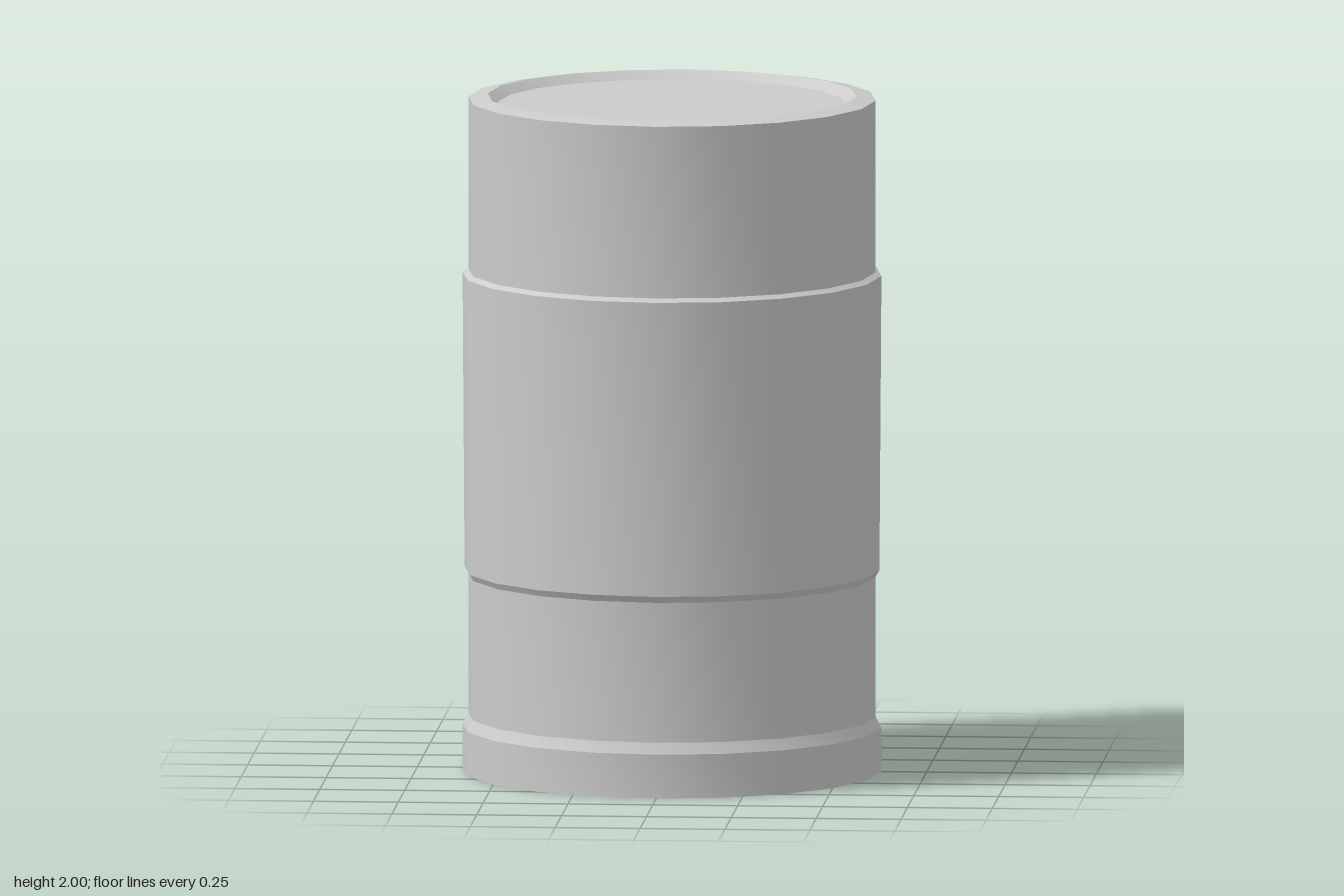
import * as THREE from 'three';
import { toCreasedNormals } from 'three/addons/utils/BufferGeometryUtils.js';

const SIDES = 20;
const material = new THREE.MeshStandardMaterial({ color: 0xcccccc });

// Turn a profile of [radius, height] pairs, smooth around and sharp at the steps
function turned(name, profile) {
  const points = profile.map(([r, y]) => new THREE.Vector2(r, y));
  const geometry = toCreasedNormals(new THREE.LatheGeometry(points, SIDES), 0.4);
  const mesh = new THREE.Mesh(geometry, material);
  mesh.name = name;
  return mesh;
}

// Flat round cap, facing up or down, with a corner on each axis
function disc(name, radius, y, facing) {
  const geometry = new THREE.CircleGeometry(radius, SIDES);
  geometry.rotateX(-facing * Math.PI / 2);
  const mesh = new THREE.Mesh(geometry, material);
  mesh.name = name;
  mesh.position.y = y;
  return mesh;
}

export function createModel() {
  const barrel = new THREE.Group();
  barrel.name = 'barrel';

  barrel.add(
    disc('baseDisc', 0.617, 0, -1),
    turned('baseRing', [[0.617, 0], [0.617, 0.13], [0.6, 0.163]]),
    turned('lowerWall', [[0.6, 0.163], [0.6, 0.578]]),
    // Raised sleeve around the middle, slightly wider at the top
    turned('middleBand', [[0.6, 0.578], [0.611, 0.597], [0.617, 1.47], [0.6, 1.481]]),
    turned('upperWall', [[0.6, 1.481], [0.6, 1.99]]),
    // Sloping rim and the short wall down to the sunken lid
    turned('topRim', [[0.6, 1.99], [0.543, 2], [0.512, 1.975]]),
    disc('lid', 0.512, 1.975, 1),
  );
  return barrel;
}
